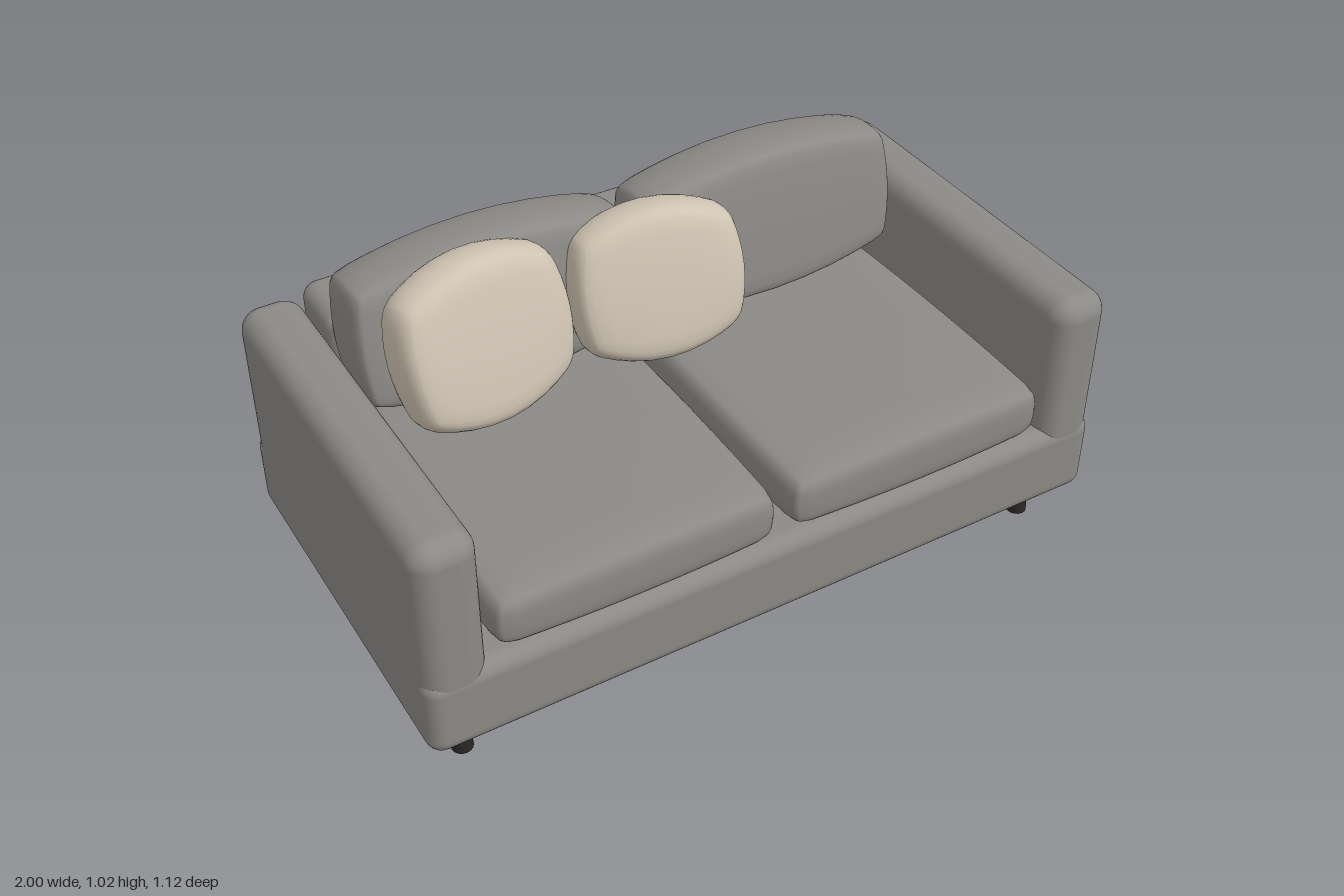
import * as THREE from 'three';
import { mergeVertices } from 'three/addons/utils/BufferGeometryUtils.js';
import { RoundedBoxGeometry } from 'three/addons/geometries/RoundedBoxGeometry.js';

const fabric = new THREE.MeshStandardMaterial({ color: 0x8c8a86 });
const beige = new THREE.MeshStandardMaterial({ color: 0xcfc3b2 });
const dark = new THREE.MeshStandardMaterial({ color: 0x2a2725 });

// Stuffed cushion: a rounded box whose faces swell towards their middles.
// w, h, d are the largest extents; bx, by, bz say how much each shrinks at the rim.
function cushionGeometry(w, h, d, r, bx, by, bz) {
  let g = new THREE.BoxGeometry(2, 2, 2, 12, 12, 12);
  g.deleteAttribute('uv');
  g.deleteAttribute('normal');
  g = mergeVertices(g);
  const half = new THREE.Vector3(w / 2, h / 2, d / 2);
  const inner = half.clone().subScalar(r);
  const p = new THREE.Vector3();
  const core = new THREE.Vector3();
  const pos = g.attributes.position;
  const ease = (t) => Math.sin(t * Math.PI / 2); // finer grid near the edges
  for (let i = 0; i < pos.count; i++) {
    p.set(ease(pos.getX(i)), ease(pos.getY(i)), ease(pos.getZ(i))).multiply(half);
    core.copy(p).clamp(inner.clone().negate(), inner);
    p.sub(core).setLength(p.lengthSq() > 0 ? r : 0).add(core);
    const u = (p.x / half.x) ** 2, v = (p.y / half.y) ** 2, s = (p.z / half.z) ** 2;
    pos.setXYZ(i,
      p.x * (1 - bx * (v + s * 0.5)),
      p.y * (1 - by * (u + s * 0.35)),
      p.z * (1 - bz * (u + v) * 0.5));
  }
  g.computeVertexNormals();
  return g;
}

export function createModel() {
  const sofa = new THREE.Group();
  sofa.name = 'sofa';

  const add = (name, geometry, material, x, y, z, tilt = 0, yaw = 0) => {
    const m = new THREE.Mesh(geometry, material);
    m.name = name;
    m.position.set(x, y, z);
    m.rotation.set(tilt, yaw, 0, 'YXZ');
    sofa.add(m);
    return m;
  };

  // Frame: base and backrest
  add('base', new RoundedBoxGeometry(2, 0.245, 1.12, 4, 0.045), fabric, 0, 0.2475, 0);
  add('backrest', new RoundedBoxGeometry(1.64, 0.5, 0.22, 4, 0.045), fabric, 0, 0.55, -0.448);

  for (const [side, label] of [[1, 'left'], [-1, 'right']]) {
    add(label + 'Arm', new RoundedBoxGeometry(0.172, 0.58, 1.117, 4, 0.06), fabric,
      side * 0.9125, 0.488, 0);

    // Legs widen slightly towards the floor
    for (const [end, place] of [[1, 'Front'], [-1, 'Back']]) {
      add(label + place + 'Leg', new THREE.CylinderGeometry(0.021, 0.029, 0.14, 16), dark,
        side * 0.877, 0.07, end * 0.438);
    }

    add(label + 'SeatCushion', cushionGeometry(0.8, 0.185, 0.875, 0.045, 0.035, 0.14, 0.02),
      fabric, side * 0.415, 0.458, 0.118);
    add(label + 'BackCushion', cushionGeometry(0.8, 0.445, 0.23, 0.035, 0.04, 0.23, 0.12),
      fabric, side * 0.412, 0.77, -0.268, -0.15);
  }

  // Loose throw pillows leaning on the back cushions
  add('largeThrowPillow', cushionGeometry(0.5, 0.465, 0.19, 0.04, 0.1, 0.27, 0.25), beige,
    -0.51, 0.793, -0.1, -0.27, 0.17);
  add('smallThrowPillow', cushionGeometry(0.48, 0.435, 0.19, 0.04, 0.1, 0.27, 0.25), beige,
    0, 0.785, -0.105, -0.27, -0.13);

  return sofa;
}
